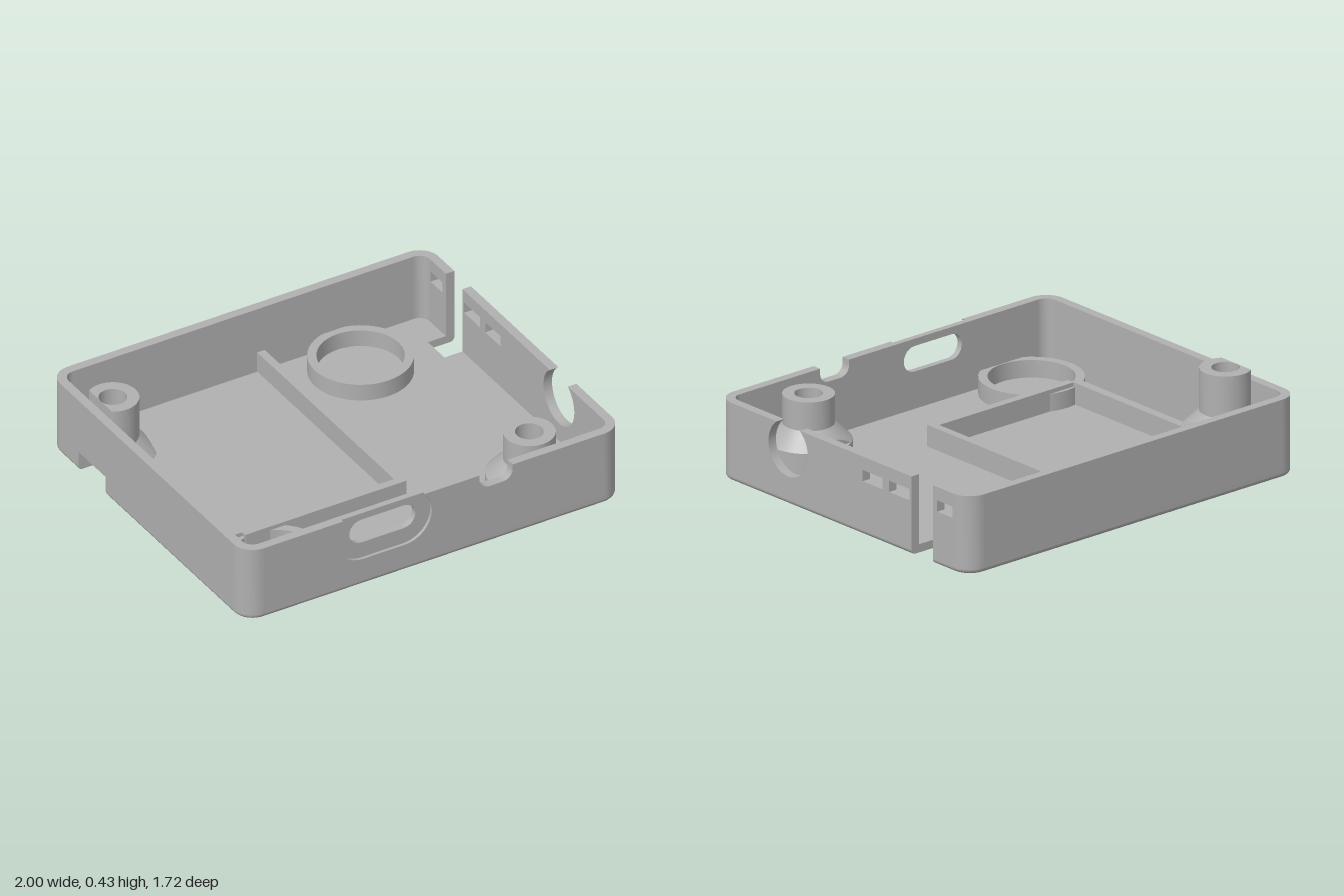
import * as THREE from 'three';
import { toCreasedNormals } from 'three/addons/utils/BufferGeometryUtils.js';

const HX = 1, HZ = 0.86, R = 0.1, WALL = 0.045, TOP = 0.38, FLOOR = 0.04, EDGE = 0.022;
const BORE = 0.12, BORE_TOP = 0.1, RIB_TOP = 0.145;
const P1 = [-0.89, -0.48], P2 = [0.63, 0.65];

const V = (x, y) => new THREE.Vector2(x, y);

// points along an arc, angles in degrees
function arc(cx, cy, r, a0, a1, n = 12) {
  return Array.from({ length: n + 1 }, (_, i) => {
    const a = THREE.MathUtils.degToRad(a0 + (a1 - a0) * i / n);
    return V(cx + r * Math.cos(a), cy + r * Math.sin(a));
  });
}
const circle = (cx, cy, r) => arc(cx, cy, r, 0, 360, 48).slice(0, -1);
const rect = (x0, y0, x1, y1) => [V(x0, y0), V(x1, y0), V(x1, y1), V(x0, y1)];
const stadium = (cx, cy, half, r) => [...arc(cx + half, cy, r, -90, 90), ...arc(cx - half, cy, r, 90, 270)];

function extrude(points, holes, depth) {
  const shape = new THREE.Shape(points);
  shape.holes = holes.map((h) => new THREE.Path(h));
  return toCreasedNormals(new THREE.ExtrudeGeometry(shape, { depth, bevelEnabled: false }), 0.5);
}

// plan outlines use (x, -z), so they read like a map seen from above
const prism = (points, holes, y0, y1) => extrude(points, holes, y1 - y0).rotateX(-Math.PI / 2).translate(0, y0, 0);

// tray outline with the cable gap on one side and the screw channel on the other
function outline(inset) {
  const x = HX - R, z = HZ - R, r = R - inset, e = HX - inset, [px, pz] = P1;
  return [
    ...arc(x, -z, r, -90, 0),
    V(e, 0.475), V(0.86, 0.475), V(0.86, 0.62), V(e, 0.62),
    ...arc(x, z, r, 0, 90),
    ...arc(-x, z, r, 90, 180),
    V(-e, -pz + BORE), ...arc(px, -pz, BORE, 90, -90, 24), V(-e, -pz - BORE),
    ...arc(-x, -z, r, 180, 270),
  ];
}

// closed band joining a stack of outlines
function loft(rings) {
  const pos = [];
  for (let k = 0; k + 1 < rings.length; k++) {
    const [a, ya] = rings[k], [b, yb] = rings[k + 1];
    for (let i = 0; i < a.length; i++) {
      const j = (i + 1) % a.length;
      for (const [p, y] of [[a[i], ya], [a[j], ya], [b[j], yb], [a[i], ya], [b[j], yb], [b[i], yb]]) pos.push(p.x, y, -p.y);
    }
  }
  const g = new THREE.BufferGeometry();
  g.setAttribute('position', new THREE.Float32BufferAttribute(pos, 3));
  return toCreasedNormals(g, 0.7);
}

// hollow screw post with a conical foot; clip(v) trims it against flat planes
function postGeometry([cx, cz], top, clip) {
  const p = [V(0.065, BORE_TOP), V(0.2, BORE_TOP), V(0.2, RIB_TOP)];
  for (let i = 0; i <= 16; i++) p.push(V(0.2 - 0.08 * i / 16, RIB_TOP + 0.0005 + 0.08 * i / 16));
  p.push(V(0.12, top), V(0.065, top), V(0.065, BORE_TOP));
  const g = new THREE.LatheGeometry(p, 96).translate(cx, 0, cz);
  const pos = g.attributes.position, v = new THREE.Vector3();
  for (let i = 0; i < pos.count; i++) {
    clip(v.fromBufferAttribute(pos, i));
    pos.setXYZ(i, v.x, v.y, v.z);
  }
  return toCreasedNormals(g, 0.5);
}

export function createModel() {
  const model = new THREE.Group();
  model.name = 'enclosureTray';
  const grey = new THREE.MeshStandardMaterial({ color: 0xb0b0b0 });
  grey.name = 'grey plastic';
  const add = (name, geometry) => {
    const mesh = new THREE.Mesh(geometry, grey);
    mesh.name = name;
    model.add(mesh);
  };

  // floor with softened lower edge
  const bore = circle(P2[0], -P2[1], BORE);
  add('floor', prism(outline(0), [bore], EDGE, FLOOR));
  const rings = [];
  for (let i = 0; i <= 5; i++) {
    const a = i / 5 * Math.PI / 2;
    rings.push([outline(EDGE * (1 - Math.sin(a))), EDGE * (1 - Math.cos(a))]);
  }
  add('bottomEdge', loft(rings));
  const under = new THREE.Shape(outline(EDGE));
  under.holes = [new THREE.Path(bore)];
  add('underside', new THREE.ShapeGeometry(under).rotateX(Math.PI / 2).scale(1, 1, -1).translate(0, 0, 0));
  // mirror the underside back in place with its face pointing down
  const u = model.children.at(-1).geometry, up = u.attributes.position;
  const flat = new THREE.ShapeGeometry(under);
  for (let i = 0; i < up.count; i++) up.setXYZ(i, flat.attributes.position.getX(i), 0, -flat.attributes.position.getY(i));
  u.setIndex([...flat.index.array].reverse());
  u.computeVertexNormals();
  add('boreEdge', loft([[bore.slice().reverse(), 0], [bore.slice().reverse(), EDGE]]));

  // rounded wall corners
  for (const [sx, sz, a] of [[1, 1, 0], [-1, 1, 90], [-1, -1, 180], [1, -1, 270]]) {
    const cx = sx * (HX - R), cz = sz * (HZ - R);
    add('wallCorner', prism([...arc(cx, cz, R, a, a + 90), ...arc(cx, cz, R - WALL, a + 90, a)], [], FLOOR, TOP));
  }

  // straight walls: drawn facing front, then turned into place
  const wall = (name, points, holes, turn, outer, depth = WALL) =>
    add(name, extrude(points, holes, depth).translate(0, 0, outer - depth).rotateY(turn));
  const wx = HX - R, wz = HZ - R;
  wall('backWall', rect(-wx, FLOOR, wx, TOP), [], Math.PI, HZ);

  // front wall: port slot, shallow port recess and a small cable notch
  const notch = [V(0.415, TOP), ...arc(0.365, 0.355, 0.05, 0, -90), ...arc(0.29, 0.355, 0.05, -90, -180), V(0.24, TOP)];
  const start = [V(-wx, FLOOR), V(wx, FLOOR), V(wx, TOP), ...notch];
  wall('frontWall', [...start, V(-wx, TOP)], [stadium(-0.265, 0.283, 0.113, 0.062)], 0, HZ - 0.015, WALL - 0.015);
  const dip = THREE.MathUtils.radToDeg(Math.asin((TOP - 0.283) / 0.143));
  wall('frontWallSkin', [...start,
    ...arc(-0.155, 0.283, 0.143, dip, -90, 20), ...arc(-0.375, 0.283, 0.143, -90, -180 - dip, 20),
    V(-wx, TOP)], [], 0, HZ, 0.015);

  // side wall with round opening, small windows and the cable gap
  const cut = THREE.MathUtils.radToDeg(Math.asin((TOP - 0.27) / 0.135));
  wall('rightWall', [V(-wz, FLOOR), V(0.475, FLOOR), V(0.475, TOP),
    ...arc(-0.37, 0.27, 0.135, cut, -180 - cut, 40), V(-wz, TOP)],
  [rect(0.14, 0.26, 0.275, 0.315), rect(0.32, 0.26, 0.46, 0.315)], Math.PI / 2, HX);
  wall('rightWallEnd', rect(0.62, FLOOR, wz, TOP), [rect(0.65, 0.26, wz - 0.005, 0.315)], Math.PI / 2, HX);

  // opposite wall with the screw channel at its foot
  const c0 = P1[1] - BORE, c1 = P1[1] + BORE;
  wall('leftWall', [V(-wz, FLOOR), V(c0, FLOOR), V(c0, BORE_TOP), V(c1, BORE_TOP), V(c1, FLOOR),
    V(wz, FLOOR), V(wz, TOP), V(-wz, TOP)], [], -Math.PI / 2, HX);

  // tall post against the side wall, trimmed on both sides
  const inner = -HX + WALL, trim = -0.735;
  add('tallPost', postGeometry(P1, 0.43, (v) => { v.x = THREE.MathUtils.clamp(v.x, inner, trim); }));
  const [px, pv] = [P1[0], -P1[1]];
  const foot = arc(px, pv, 0.2, -109, 109, 48).map((p) => V(Math.min(p.x, trim), p.y));
  add('tallPostFoot', prism([...foot, V(inner, pv + BORE), ...arc(px, pv, BORE, 90, -90, 24), V(inner, pv - BORE)],
    [], FLOOR, BORE_TOP));

  // short post near the front corner, cone trimmed at the back
  add('shortPost', postGeometry(P2, 0.365, (v) => {
    if (v.y > RIB_TOP + 0.0002) v.z = Math.max(v.z, 0.485);
    v.z = Math.min(v.z, HZ - 0.02);
  }));
  add('shortPostFoot', prism(circle(P2[0], -P2[1], 0.2), [bore], FLOOR, BORE_TOP));

  // low ribs framing the bay
  const rib = (x0, z0, x1, z1) => add('bayRib', prism(rect(x0, -z1, x1, -z0), [], FLOOR, RIB_TOP));
  rib(-0.78, -0.82, -0.735, 0.4);
  rib(0.075, -0.82, 0.115, 0.425);
  rib(-0.735, 0.385, 0.075, 0.425);

  // round holder rings
  for (const [x, z] of [[0.48, -0.58], [-0.68, 0.61]]) {
    add('holderRing', prism(circle(x, -z, 0.242), [circle(x, -z, 0.2)], FLOOR, 0.125));
  }
  return model;
}
